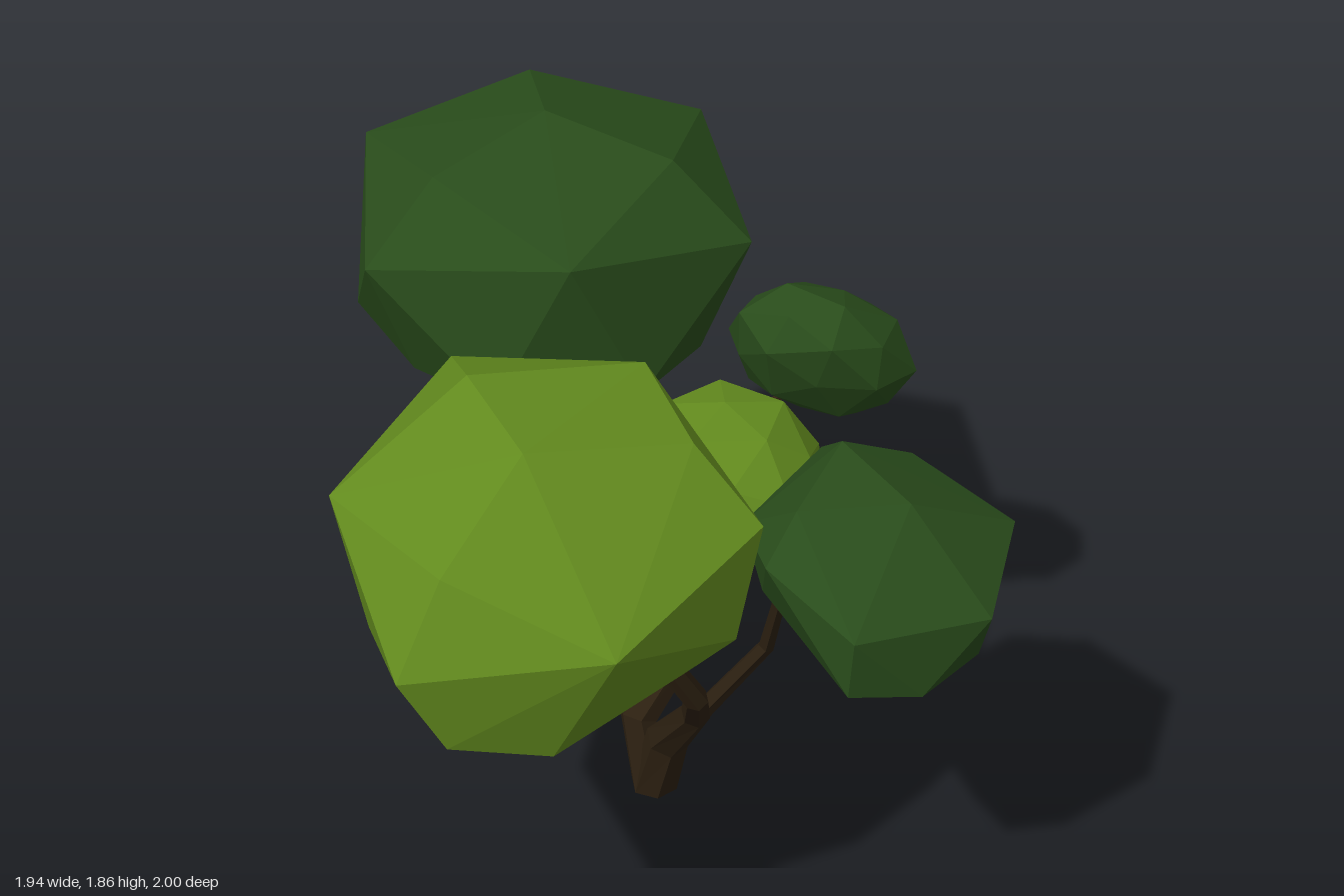
import * as THREE from 'three';
import { ConvexGeometry } from 'three/addons/geometries/ConvexGeometry.js';

const paint = (color) => new THREE.MeshStandardMaterial({ color, flatShading: true });
const V = (p) => new THREE.Vector3(...p);

// Faceted branch: rings of `sides` corners along a path of [x, y, z, radius]
function limb(path, sides = 6) {
  const pts = path.map((p) => V(p));
  const pos = [], idx = [], n = pts.length;
  pts.forEach((p, i) => {
    const dir = pts[Math.min(i + 1, n - 1)].clone().sub(pts[Math.max(i - 1, 0)]).normalize();
    if (i === 0 && p.y === 0) dir.set(0, 1, 0);
    const u = new THREE.Vector3(1, 0, 0).addScaledVector(dir, -dir.x).normalize();
    const w = u.clone().cross(dir);
    for (let k = 0; k < sides; k++) {
      const a = (k / sides) * Math.PI * 2;
      const q = p.clone().addScaledVector(u, Math.cos(a) * path[i][3]).addScaledVector(w, Math.sin(a) * path[i][3]);
      pos.push(q.x, q.y, q.z);
    }
  });
  for (let i = 0; i < n - 1; i++) for (let k = 0; k < sides; k++) {
    const a = i * sides + k, b = i * sides + (k + 1) % sides;
    idx.push(a, a + sides, b, b, a + sides, b + sides);
  }
  // end caps
  const last = (n - 1) * sides;
  for (let k = 1; k < sides - 1; k++) idx.push(0, k, k + 1, last, last + k + 1, last + k);
  const g = new THREE.BufferGeometry();
  g.setAttribute('position', new THREE.Float32BufferAttribute(pos, 3));
  g.setIndex(idx);
  g.computeVertexNormals();
  return g;
}

// Faceted ellipsoid clump (dodecahedron with raised faces), tilted by Euler angles
function clump(center, radii, tilt) {
  const pts = [];
  for (const g of [new THREE.DodecahedronGeometry(1), new THREE.IcosahedronGeometry(0.93).rotateX(Math.PI / 2)]) {
    const p = g.attributes.position;
    for (let i = 0; i < p.count; i++) pts.push(new THREE.Vector3().fromBufferAttribute(p, i));
  }
  return new ConvexGeometry(pts)
    .rotateY(0.4).scale(...radii)
    .applyMatrix4(new THREE.Matrix4().makeRotationFromEuler(new THREE.Euler(...tilt)))
    .translate(...center);
}

// Three-fold crown: rings of [radius, height, angles in degrees], repeated every 120 degrees
function crown(top, bottom, rings) {
  const pts = [V(top), V(bottom)];
  for (const [r, y, angles] of rings) for (const a of angles) for (let k = 0; k < 3; k++) {
    const t = THREE.MathUtils.degToRad(a + 120 * k);
    pts.push(V([top[0] + r * Math.cos(t), y, top[2] + r * Math.sin(t)]));
  }
  return new ConvexGeometry(pts);
}

export function createModel() {
  const group = new THREE.Group();
  const bark = paint(0x2c2011), dark = paint(0x294c1b), light = paint(0x628a1e);
  const add = (name, geometry, material) => {
    const m = new THREE.Mesh(geometry, material);
    m.name = name;
    group.add(m);
  };

  // Two stems sharing one foot
  add('frontStem', limb([[-0.04, 0, -0.21, 0.066], [0.01, 0.2, -0.18, 0.06], [0.14, 0.42, -0.05, 0.04],
    [0.21, 0.62, 0.13, 0.033], [0.12, 0.86, 0.24, 0.03], [0.08, 1.08, 0.22, 0.025]]), bark);
  add('backStem', limb([[-0.04, 0, -0.21, 0.066], [-0.1, 0.2, -0.24, 0.055], [0.01, 0.42, -0.42, 0.038],
    [0, 0.62, -0.52, 0.033], [-0.07, 0.85, -0.46, 0.028], [-0.25, 0.98, -0.48, 0.02], [-0.36, 1.2, -0.5, 0.018]]), bark);
  // Thinner branches reaching the clumps
  add('leftBranch', limb([[0.15, 0.42, -0.07, 0.028], [0.31, 0.65, -0.11, 0.022], [0.36, 0.85, -0.06, 0.018],
    [0.4, 1.05, -0.01, 0.015]], 5), bark);
  add('rearBranch', limb([[-0.08, 0.85, -0.46, 0.018], [0, 0.95, -0.49, 0.013], [0.12, 1.03, -0.64, 0.011],
    [0.22, 1.13, -0.7, 0.01]], 5), bark);
  add('middleBranch', limb([[-0.05, 0.82, -0.47, 0.02], [0, 0.9, -0.38, 0.015], [0.08, 0.98, -0.3, 0.012]], 5), bark);
  add('lowBranch', limb([[0.01, 0.41, -0.41, 0.02], [0, 0.49, -0.32, 0.016], [-0.03, 0.62, -0.26, 0.012]], 5), bark);

  // Large back crown
  add('backCrown', crown([-0.46, 1.86, -0.5], [-0.35, 1.155, -0.5], [
    [0.35, 1.79, [0]], [0.565, 1.6, [0]], [0.51, 1.69, [60]],
    [0.5, 1.29, [37.8, 82.2]], [0.43, 1.255, [0]],
  ]), dark);

  // Large front crown
  add('frontCrown', new ConvexGeometry([
    [-0.06, 1.59, 0.57], [-0.31, 1.6, 0.33], [0.04, 1.56, 0.06], [0.26, 1.53, 0.3],
    [-0.53, 1.4, 0.65], [-0.14, 1.41, 0.87], [-0.2, 1.18, 1.0], [0.45, 1.36, 0.33],
    [0.28, 1.26, 0.83], [0.42, 1.08, 0.42], [0.11, 0.92, 0.81], [0.28, 0.92, 0.4],
    [-0.11, 0.965, 0.93], [-0.47, 0.99, 0.6], [-0.57, 1.1, 0.35], [-0.46, 1.48, 0.1],
    [-0.16, 1.32, -0.06], [0.13, 1.2, -0.01], [0.1, 1.02, 0.12], [-0.35, 1.0, 0.15], [-0.1, 0.94, 0.5],
  ].map(V)), light);

  // Left crown
  add('leftCrown', new ConvexGeometry([
    [0.72, 1.3, 0.03], [0.49, 1.33, -0.12], [0.62, 1.22, -0.29], [0.92, 1.15, -0.2],
    [0.97, 1.1, 0.14], [0.71, 1.13, 0.4], [0.44, 1.2, 0.28], [0.47, 1.29, 0.15],
    [0.3, 1.15, 0.06], [0.31, 1.12, -0.1], [0.4, 1.22, -0.23], [0.9, 0.86, -0.02],
    [0.62, 0.85, 0.22], [0.85, 0.93, 0.28], [0.7, 0.97, 0.4], [0.37, 0.99, 0.1],
    [0.62, 0.93, -0.28], [0.86, 0.92, -0.2], [0.42, 0.99, -0.2], [0.62, 0.84, -0.02],
  ].map(V)), dark);

  // Small clumps
  add('rearClump', clump([0.235, 1.19, -0.7], [0.26, 0.17, 0.275], [-0.85, 0, 0]), dark);
  add('middleClump', clump([0.13, 1.035, -0.26], [0.27, 0.2, 0.27], [0.4, 0, -0.2]), light);
  add('lowClump', clump([-0.075, 0.715, -0.26], [0.25, 0.14, 0.185], [0, 0, -0.6]), dark);

  return group;
}
